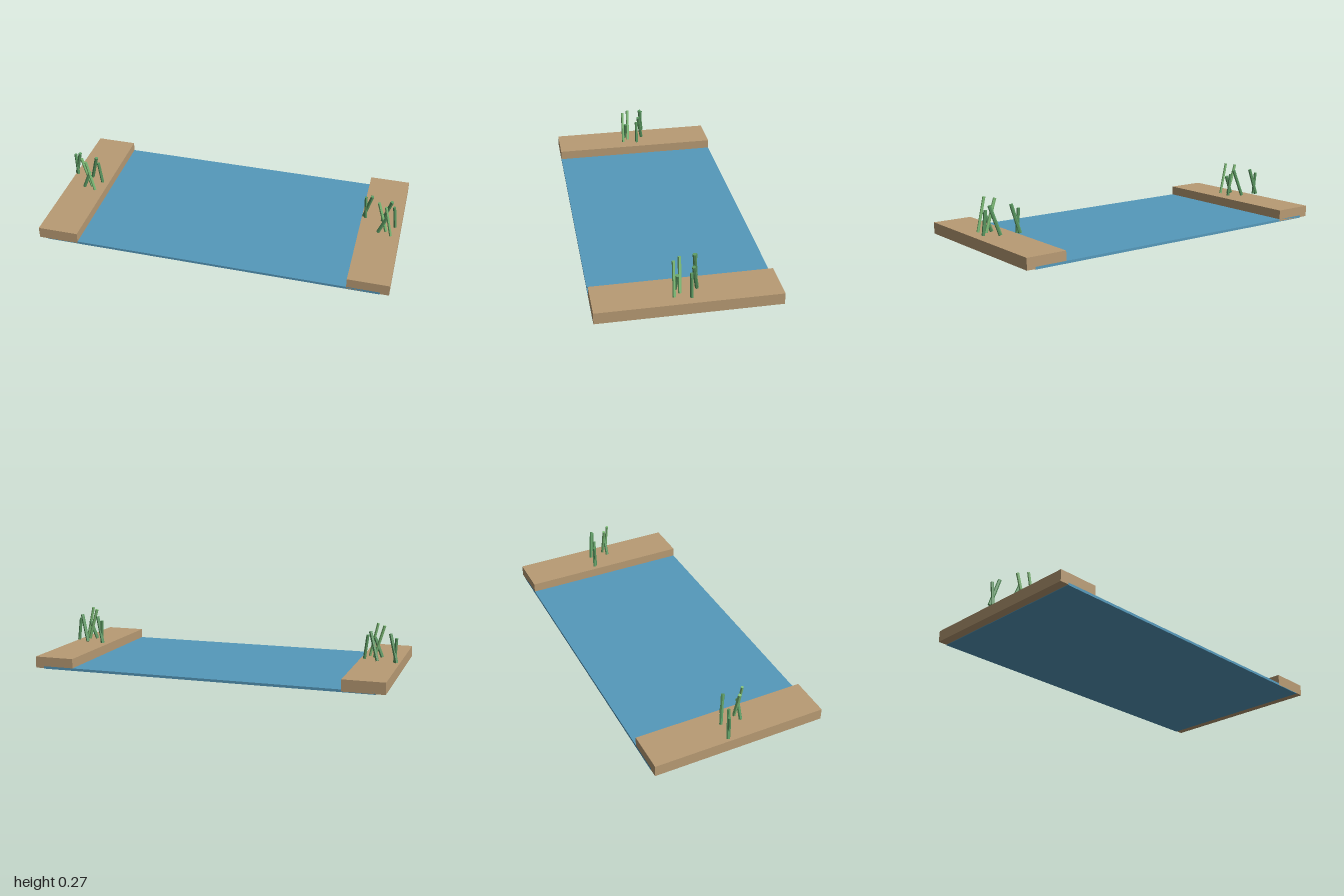
import * as THREE from 'three';

const UP = new THREE.Vector3(0, 1, 0);
const paint = (color) => new THREE.MeshStandardMaterial({ color, flatShading: true });

function box(name, w, h, d, x, y, material) {
  const mesh = new THREE.Mesh(new THREE.BoxGeometry(w, h, d), material);
  mesh.name = name;
  mesh.position.set(x, y, 0);
  return mesh;
}

// A straight stalk between two points
function stalk(from, to, radius, material) {
  const a = new THREE.Vector3(...from), b = new THREE.Vector3(...to);
  const dir = b.clone().sub(a);
  const mesh = new THREE.Mesh(new THREE.CylinderGeometry(radius, radius, dir.length(), 6), material);
  mesh.name = 'reed';
  mesh.position.copy(a).add(b).multiplyScalar(0.5);
  mesh.quaternion.setFromUnitVectors(UP, dir.normalize());
  return mesh;
}

export function createModel() {
  const model = new THREE.Group();
  model.name = 'riverTile';
  const sand = paint(0xb89b74), blue = paint(0x5599bb);
  const green = paint(0x5c9a62), lightGreen = paint(0x7fbf78);

  // Water sheet running under both banks
  model.add(box('water', 1.885, 0.014, 0.972, 0.008, 0.007, blue));

  // Stalks relative to the bank centre: [foot, tip, radius, material]
  const reeds = [
    [[0.066, 0.08, 0.074], [0.024, 0.268, 0.073], 0.008, lightGreen],
    [[0.036, 0.08, 0.040], [-0.018, 0.262, 0.034], 0.009, lightGreen],
    [[-0.006, 0.08, 0.056], [0.036, 0.188, 0.054], 0.010, green],
    [[0.082, 0.08, -0.012], [0.066, 0.214, -0.012], 0.009, green],
    [[0.004, 0.08, -0.054], [0.050, 0.238, -0.026], 0.010, green],
    [[-0.104, 0.08, -0.072], [-0.064, 0.236, -0.053], 0.010, green],
    [[-0.092, 0.08, -0.060], [-0.100, 0.214, -0.068], 0.009, green],
  ];

  // Both banks carry the same clump
  for (const [side, x] of [['right', -0.869], ['left', 0.885]]) {
    model.add(box(side + 'Bank', 0.229, 0.064, 0.972, x, 0.035, sand));
    const clump = new THREE.Group();
    clump.name = side + 'Reeds';
    clump.position.x = x;
    for (const reed of reeds) clump.add(stalk(...reed));
    model.add(clump);
  }
  return model;
}
